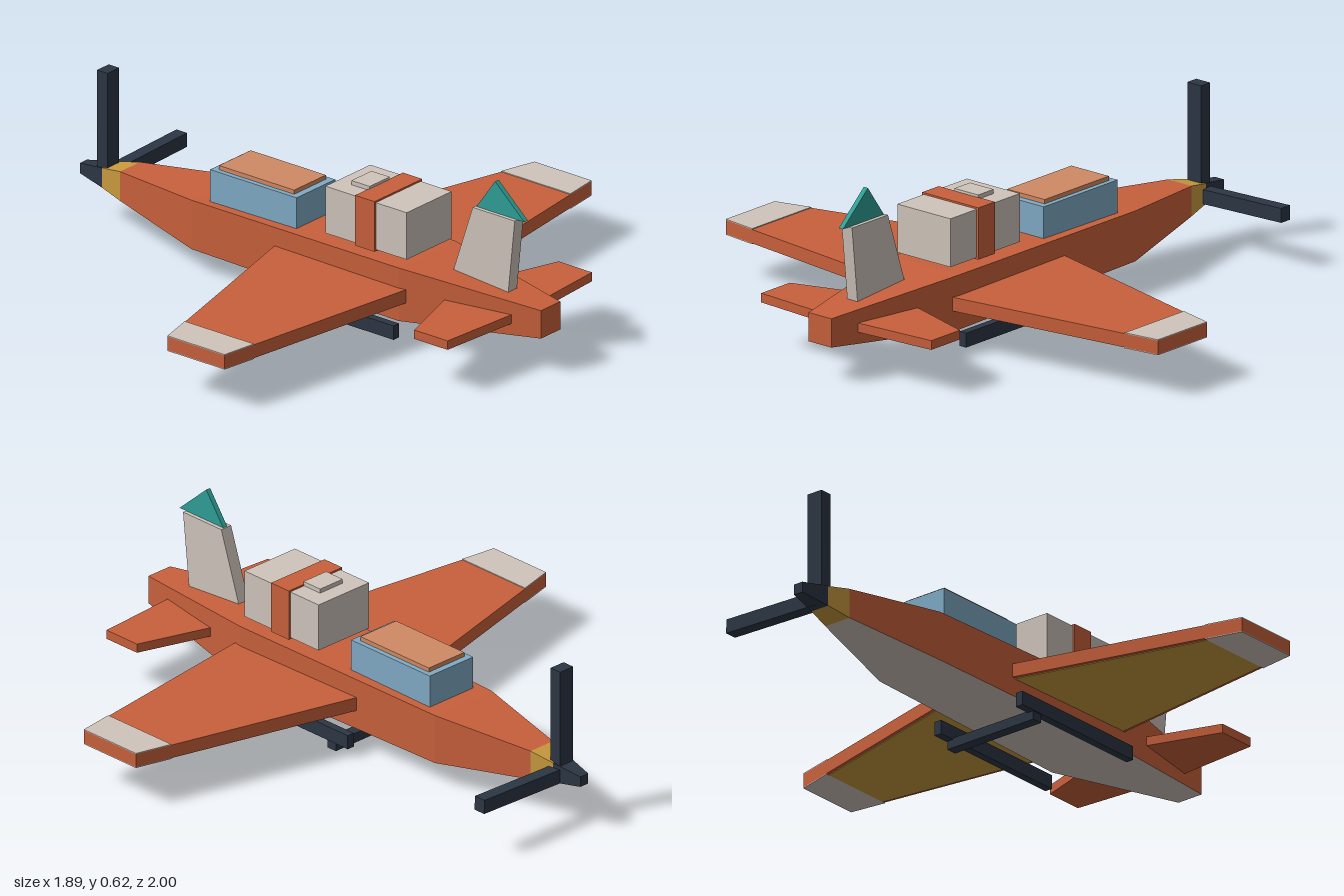
import * as THREE from 'three';

const mat = (name, color) => {
  const m = new THREE.MeshStandardMaterial({ color });
  m.name = name;
  return m;
};

export function createModel() {
  const orange = mat('orange paint', 0xc8603c);
  const grey = mat('warm grey', 0xcfc4bb);
  const gold = mat('gold', 0xc99a3e);
  const navy = mat('dark navy', 0x2c3644);
  const blue = mat('canopy blue', 0x7faac4);
  const teal = mat('teal', 0x2f9e96);
  const tan = mat('light orange', 0xcf8a64);

  const model = new THREE.Group();
  model.name = 'propellerPlane';
  const add = (name, geometry, material) => {
    const mesh = new THREE.Mesh(geometry, material);
    mesh.name = name;
    model.add(mesh);
    return mesh;
  };

  // Box given by its minimum and maximum corners
  const box = (name, x0, x1, y0, y1, z0, z1, material) => {
    const g = new THREE.BoxGeometry(x1 - x0, y1 - y0, z1 - z0);
    g.translate((x0 + x1) / 2, (y0 + y1) / 2, (z0 + z1) / 2);
    return add(name, g, material);
  };

  // Rectangular loft; sections are [z, halfWidth, bottom, top], from +z to -z.
  // Group 0 is the sides, top and ends, group 1 the underside.
  const loft = (name, sections, materials) => {
    const rings = sections.map(([z, w, b, t]) => [[-w, b, z], [w, b, z], [w, t, z], [-w, t, z]]);
    const upper = [], belly = [];
    const quad = (out, a, b, c, d) => out.push(...a, ...b, ...c, ...a, ...c, ...d);
    for (let k = 0; k < rings.length - 1; k++) {
      for (let i = 0; i < 4; i++) {
        const j = (i + 1) % 4;
        quad(i === 0 ? belly : upper, rings[k][i], rings[k + 1][i], rings[k + 1][j], rings[k][j]);
      }
    }
    const last = rings[rings.length - 1];
    quad(upper, ...rings[0]);
    quad(upper, last[3], last[2], last[1], last[0]);
    const g = new THREE.BufferGeometry();
    g.setAttribute('position', new THREE.Float32BufferAttribute([...upper, ...belly], 3));
    g.addGroup(0, upper.length / 3, 0);
    g.addGroup(upper.length / 3, belly.length / 3, 1);
    g.computeVertexNormals();
    return add(name, g, materials);
  };

  // Horizontal slab from an [x, z] outline
  const slab = (name, pts, y0, y1, material) => {
    const shape = new THREE.Shape(pts.map(([x, z]) => new THREE.Vector2(x, -z)));
    const g = new THREE.ExtrudeGeometry(shape, { depth: y1 - y0, bevelEnabled: false });
    g.rotateX(-Math.PI / 2).translate(0, y0, 0);
    return add(name, g, material);
  };

  // Upright slab from a [z, y] outline, centred on x = 0
  const upright = (name, pts, thickness, material) => {
    const shape = new THREE.Shape(pts.map(([z, y]) => new THREE.Vector2(z, y)));
    const g = new THREE.ExtrudeGeometry(shape, { depth: thickness, bevelEnabled: false });
    g.rotateY(-Math.PI / 2).translate(thickness / 2, 0, 0);
    return add(name, g, material);
  };

  // Fuselage with grey belly, gold nose ring and dark spinner
  loft('fuselage', [
    [1, 0.05, 0.13, 0.23],
    [0.47, 0.147, 0.08, 0.27],
    [-0.43, 0.13, 0.085, 0.26],
    [-0.8, 0.052, 0.13, 0.235],
  ], [orange, grey]);
  loft('noseRing', [[-0.8, 0.052, 0.13, 0.235], [-0.89, 0.036, 0.147, 0.218]], [gold, gold]);
  loft('spinner', [[-0.89, 0.036, 0.147, 0.218], [-1, 0.018, 0.163, 0.2]], [navy, navy]);

  // Propeller: one upright blade and one slightly raised side blade
  box('uprightBlade', -0.03, 0.03, 0.18, 0.56, -0.917, -0.872, navy);
  const sideBlade = new THREE.BoxGeometry(0.38, 0.05, 0.045);
  sideBlade.translate(0.19, 0, 0).rotateZ(0.03).translate(0, 0.175, -0.895);
  add('sideBlade', sideBlade, navy);

  // Wings, tailplanes and landing rails, mirrored
  const lead = (x) => -0.07 + ((x - 0.13) / 0.815) * 0.215;
  const trail = (x) => 0.5 - ((x - 0.13) / 0.815) * 0.11;
  for (const s of [1, -1]) {
    const side = s > 0 ? 'left' : 'right';
    const panel = (x0, x1, inset = 0) => [
      [s * x0, lead(x0) + inset], [s * x1, lead(x1) + inset],
      [s * x1, trail(x1) - inset], [s * x0, trail(x0) - inset],
    ];
    slab(side + 'Wing', panel(0.08, 0.945), 0.15, 0.198, orange);
    slab(side + 'WingTipTop', panel(0.815, 0.945), 0.198, 0.201, grey);
    slab(side + 'WingTipBottom', panel(0.815, 0.945), 0.147, 0.15, grey);
    slab(side + 'WingUnderside', panel(0.1, 0.815, 0.012), 0.147, 0.15, gold);
    slab(side + 'Tailplane', [
      [0, 0.605], [s * 0.12, 0.643], [s * 0.372, 0.725], [s * 0.372, 0.868], [s * 0.07, 0.89], [0, 0.895],
    ], 0.16, 0.192, orange);
    const x = s * 0.175;
    box(side + 'LandingRail', x - 0.014, x + 0.014, 0.03, 0.08, -0.08, 0.485, navy);
  }
  box('landingCrossbar', -0.185, 0.185, 0, 0.035, -0.02, 0.02, navy);

  // Cockpit
  box('canopy', -0.1, 0.1, 0.25, 0.375, -0.375, -0.005, blue);
  box('canopyRoof', -0.082, 0.082, 0.375, 0.39, -0.352, -0.03, tan);

  // Cargo pack with strap and top buckle
  box('cargoPack', -0.116, 0.116, 0.292, 0.46, 0.132, 0.48, grey);
  box('cargoStrap', -0.123, 0.123, 0.286, 0.466, 0.265, 0.348, orange);
  box('cargoBuckle', -0.052, 0.052, 0.46, 0.475, 0.19, 0.268, grey);

  // Tail fin and its teal tip
  upright('tailFin', [[0.835, 0.22], [0.865, 0.505], [0.685, 0.505], [0.59, 0.22]], 0.045, grey);
  upright('finTip', [[0.895, 0.505], [0.77, 0.617], [0.69, 0.505]], 0.018, teal);

  return model;
}
